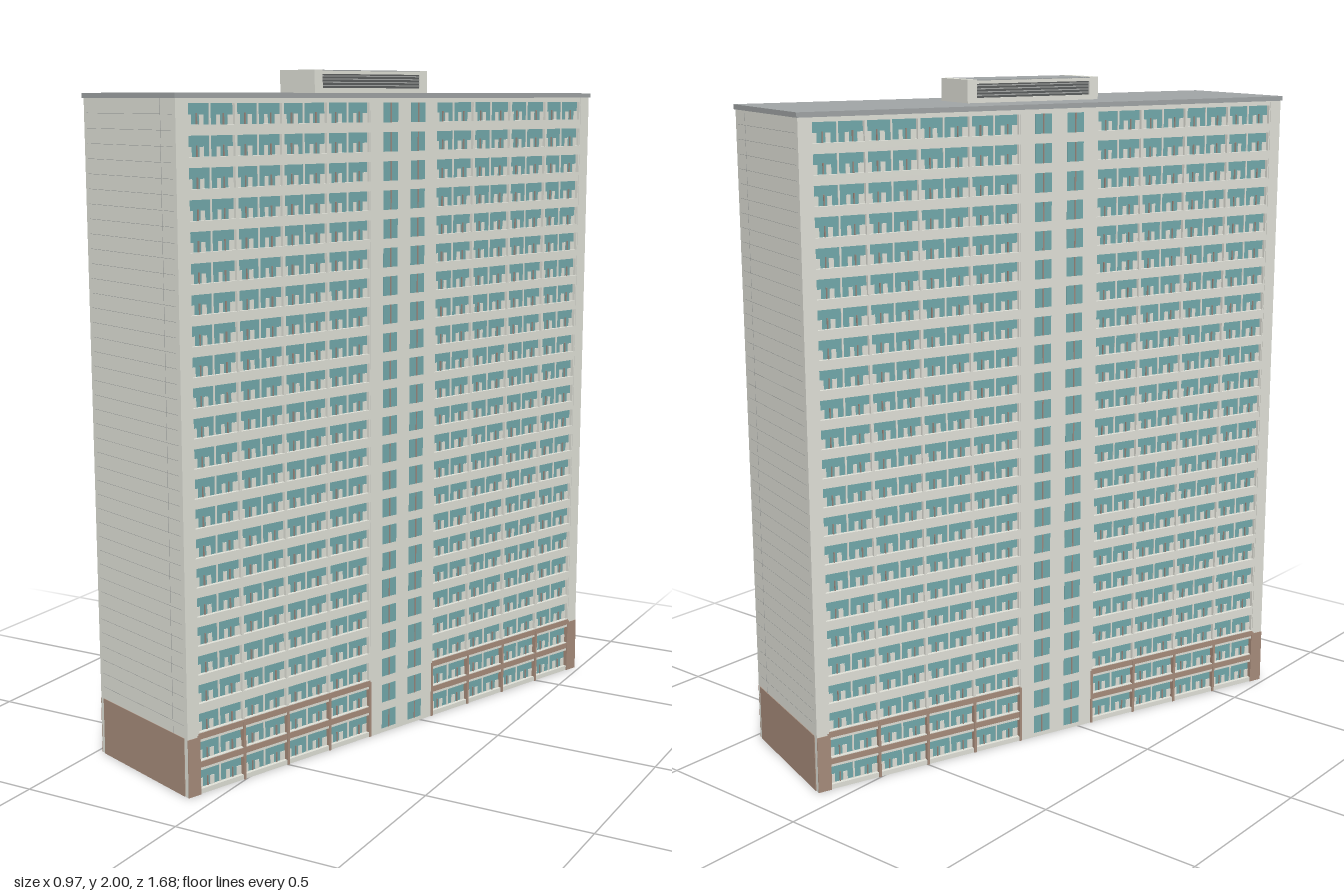
import * as THREE from 'three';
import { mergeGeometries } from 'three/addons/utils/BufferGeometryUtils.js';

const FLOORS = 23, PITCH = 0.0835, HX = 0.219, HZ = 0.808, TOP = 1.92;
const CORE = 0.13, WING_END = 0.77, BAYS = 4, BAY = (WING_END - CORE) / BAYS, RECESS = 0.016;

const mat = (name, color) => {
  const m = new THREE.MeshStandardMaterial({ color });
  m.name = name;
  return m;
};

// box given by its min and max along each axis
const span = (x0, x1, y0, y1, z0, z1) =>
  new THREE.BoxGeometry(x1 - x0, y1 - y0, z1 - z0)
    .translate((x0 + x1) / 2, (y0 + y1) / 2, (z0 + z1) / 2);

export function createModel() {
  const concrete = mat('paleConcrete', 0xe1e2d9);
  const brick = mat('brownCladding', 0xa88d7c);
  const glass = mat('tealGlass', 0x73aaac);
  const frame = mat('warmGreyFrame', 0x9c8a80);
  const roofGrey = mat('roofGrey', 0xa1a5a6);
  const joint = mat('jointGrey', 0xa5a7a6);
  const louvre = mat('louvreDark', 0x5c5f5f);

  const tower = new THREE.Group();
  tower.name = 'tower';
  const add = (parent, name, material, geos) => {
    const mesh = new THREE.Mesh(mergeGeometries(geos), material);
    mesh.name = name;
    parent.add(mesh);
  };

  // central block, end walls and lift core
  const inner = HX - RECESS;
  add(tower, 'body', concrete, [
    span(-inner, inner, 0, TOP, -HZ + 0.01, HZ - 0.01),
    span(-HX, HX, 0, TOP, -CORE, CORE),
    span(-HX, HX, 0, TOP, WING_END, HZ),
    span(-HX, HX, 0, TOP, -HZ, -WING_END),
  ]);

  // one long facade, facing +x; the other is the same turned half round
  function facade() {
    const g = new THREE.Group();
    const panes = [], bands = [], baseBands = [], fins = [], basePiers = [];
    const panels = [], mullions = [], coreGlass = [], coreBars = [];
    for (const s of [-1, 1]) {
      const z = (a, b) => (s > 0 ? [a, b] : [-b, -a]);
      panes.push(span(inner, inner + 0.003, 0, TOP, ...z(CORE, WING_END)));

      // floor slabs and spandrels
      for (let i = 0; i <= FLOORS; i++) {
        const y = i * PITCH;
        const y0 = Math.max(0, y - 0.0135), y1 = Math.min(TOP, y + 0.0145);
        bands.push(span(inner, HX - 0.001, y0, y1, ...z(CORE, WING_END)));
        if (i === 1 || i === 2)
          baseBands.push(span(HX - 0.004, HX + 0.001, y - 0.005, y + 0.0125, ...z(CORE, WING_END)));
      }

      // partitions between the bays
      for (let b = 0; b <= BAYS; b++) {
        const c = CORE + b * BAY;
        fins.push(span(inner, HX - 0.002, 0.17, TOP, ...z(c - 0.004, c + 0.004)));
        basePiers.push(span(inner, HX + 0.002, 0, 0.175, ...z(c - 0.004, c + 0.004)));
      }
      basePiers.push(span(HX - 0.001, HX + 0.002, 0, 0.17, ...z(WING_END, HZ)));

      // low panels, posts and thin window frames
      for (let i = 0; i < FLOORS; i++) {
        const y0 = i * PITCH + 0.0145, y1 = y0 + 0.0555;
        for (let b = 0; b < BAYS; b++) {
          const c = CORE + b * BAY;
          for (const [a, w] of [[0.003, 0.018], [0.046, 0.012], [0.1, 0.014], [0.14, 0.017]])
            panels.push(span(inner + 0.002, inner + 0.005, y0, y0 + 0.026, ...z(c + a, c + a + w)));
          panels.push(span(inner + 0.002, inner + 0.006, y0, y1, ...z(c + 0.0775, c + 0.0825)));
          for (const a of [0.034, 0.122])
            mullions.push(span(inner + 0.002, inner + 0.007, y0, y0 + 0.03, ...z(c + a, c + a + 0.003)));
        }
      }

      // stair windows in the core, each split by a bar
      for (let i = 0; i < FLOORS; i++) {
        const y0 = i * PITCH + 0.014, y1 = y0 + 0.056;
        coreGlass.push(span(HX - 0.002, HX + 0.001, y0, y1, ...z(0.026, 0.082)));
        coreBars.push(span(HX, HX + 0.003, y0, y1, ...z(0.052, 0.056)));
      }
    }
    add(g, 'windowGlass', glass, panes);
    add(g, 'floorBands', concrete, bands);
    add(g, 'baseBands', brick, baseBands);
    add(g, 'bayPartitions', concrete, fins);
    add(g, 'basePiers', brick, basePiers);
    add(g, 'balconyPanels', concrete, panels);
    add(g, 'windowMullions', frame, mullions);
    add(g, 'stairWindows', glass, coreGlass);
    add(g, 'stairWindowBars', frame, coreBars);
    return g;
  }

  // gable end facing +z: brown base panel and fine panel joints
  function gable(side) {
    const g = new THREE.Group();
    add(g, 'gableBase', brick, [span(-0.204, 0.204, 0, 0.172, HZ - 0.002, HZ + 0.002)]);
    const joints = [];
    for (let y = 2.5 * PITCH; y < TOP - 0.02; y += PITCH / 2)
      joints.push(span(-0.204, 0.204, y, y + 0.001, HZ - 0.001, HZ + 0.0005));
    const x = side * 0.15;
    joints.push(span(x, x + 0.001, 0.172, TOP, HZ - 0.001, HZ + 0.0005));
    add(g, 'gableJoints', joint, joints);
    return g;
  }

  for (const turn of [0, Math.PI]) {
    const f = facade(), e = gable(turn ? -1 : 1);
    f.name = turn ? 'rightFacade' : 'leftFacade';
    e.name = turn ? 'backGable' : 'frontGable';
    f.rotation.y = e.rotation.y = turn;
    tower.add(f, e);
  }

  // flat roof with a slim projecting edge
  add(tower, 'roof', roofGrey, [span(-0.223, 0.223, TOP, 1.934, -0.812, 0.812)]);

  // rooftop plant room with louvred sides and pale ends
  const plant = new THREE.Group();
  plant.name = 'plantRoom';
  const PX = 0.079, PZ = 0.222;
  add(plant, 'plantRoof', roofGrey, [
    span(-PX + 0.006, PX - 0.006, 1.93, 1.99, -PZ + 0.01, PZ - 0.01),
    span(-PX, PX, 1.997, 1.9995, -PZ + 0.029, PZ - 0.029),
  ]);
  const walls = [], slats = [], backing = [];
  for (const turn of [0, Math.PI]) {
    const parts = [
      [walls, span(-PX, PX, 1.93, 2, PZ - 0.03, PZ)],
      [walls, span(PX - 0.006, PX, 1.988, 1.998, -PZ + 0.03, PZ - 0.03)],
      [walls, span(PX - 0.006, PX, 1.93, 1.948, -PZ + 0.03, PZ - 0.03)],
      [backing, span(PX - 0.007, PX - 0.004, 1.946, 1.991, -PZ + 0.028, PZ - 0.028)],
    ];
    for (let i = 0; i < 4; i++)
      parts.push([slats, span(PX - 0.005, PX - 0.001, 1.954 + i * 0.009, 1.957 + i * 0.009, -PZ + 0.03, PZ - 0.03)]);
    for (const [list, geo] of parts) list.push(geo.rotateY(turn));
  }
  add(plant, 'plantWalls', concrete, walls);
  add(plant, 'louvreBacking', louvre, backing);
  add(plant, 'louvreSlats', joint, slats);
  tower.add(plant);

  // the block stands turned on its plot
  tower.rotation.y = -THREE.MathUtils.degToRad(20);
  const model = new THREE.Group();
  model.name = 'towerBlock';
  model.add(tower);
  return model;
}
